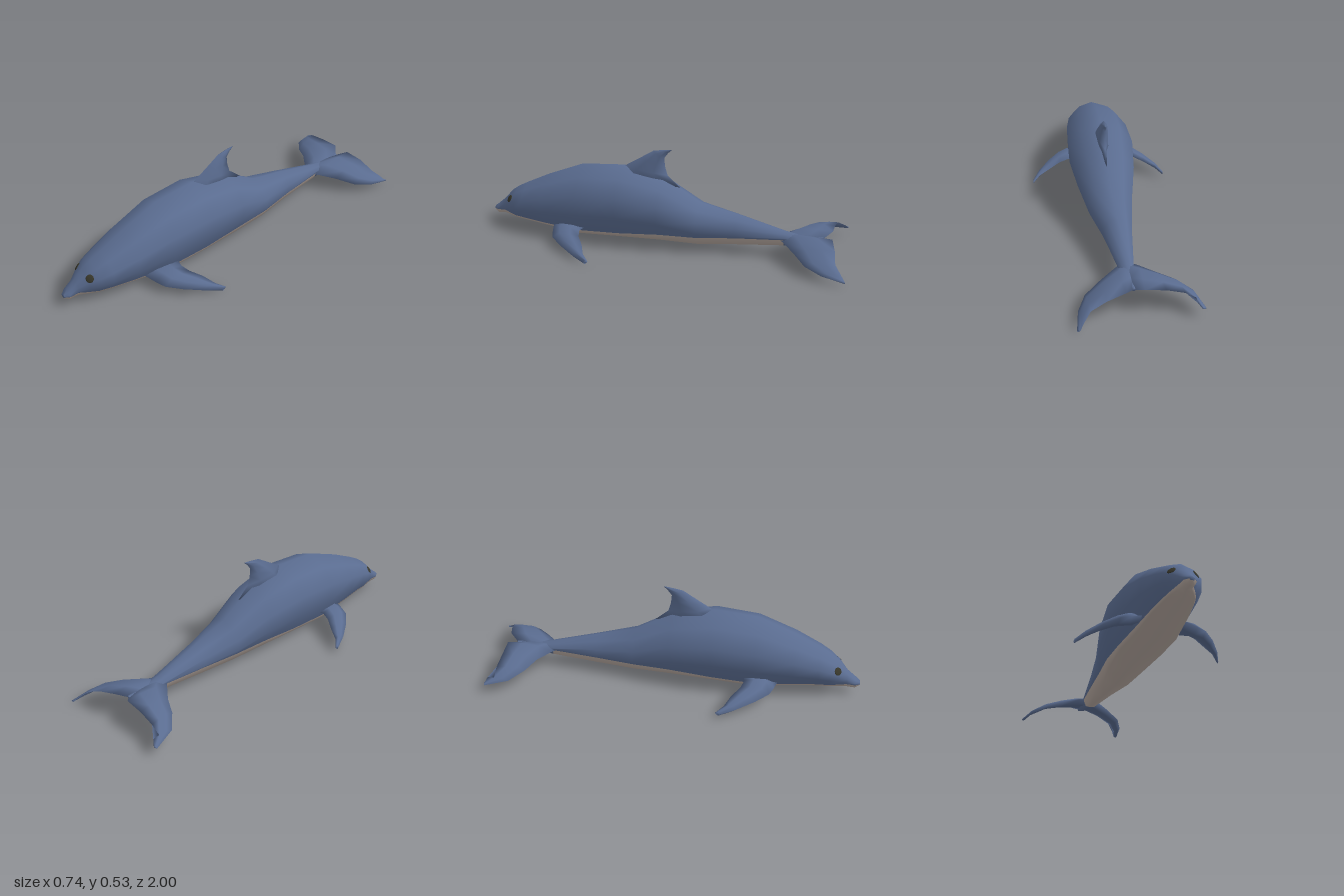
import * as THREE from 'three';

const skin = new THREE.MeshStandardMaterial({ color: 0x5a6c90 });
skin.name = 'slate blue skin';
const pale = new THREE.MeshStandardMaterial({ color: 0xb8aaa2 });
pale.name = 'pale belly';
const dark = new THREE.MeshStandardMaterial({ color: 0x38372b });
dark.name = 'dark eye';

// Smooth capped skin through a row of closed rings; isPale(i, j) picks the second material.
function loft(name, rings, isPale = () => false) {
  const n = rings[0].length;
  const points = rings.flat();
  const faces = [[], []];
  for (let i = 0; i < rings.length - 1; i++) {
    for (let j = 0; j < n; j++) {
      const a = i * n + j, b = i * n + (j + 1) % n;
      faces[isPale(i, j) ? 1 : 0].push(a, b, a + n, b, b + n, a + n);
    }
  }
  const last = (rings.length - 1) * n;
  for (let j = 1; j < n - 1; j++) {
    faces[0].push(0, j + 1, j, last, last + j, last + j + 1);
  }
  const geometry = new THREE.BufferGeometry().setFromPoints(points);
  geometry.setIndex([...faces[0], ...faces[1]]);
  geometry.addGroup(0, faces[0].length, 0);
  geometry.addGroup(faces[0].length, faces[1].length, 1);
  geometry.computeVertexNormals();
  const mesh = new THREE.Mesh(geometry, [skin, pale]);
  mesh.name = name;
  return mesh;
}

// Fin with lens-shaped sections: each station is [leading point, trailing point, half thickness].
function fin(name, stations, thickDir) {
  const dir = new THREE.Vector3(...thickDir);
  return loft(name, stations.map(([l, t, h]) => {
    const lead = new THREE.Vector3(...l), trail = new THREE.Vector3(...t);
    const at = (k, d) => lead.clone().lerp(trail, k).addScaledVector(dir, d * h);
    return [lead, at(0.28, 1), at(0.68, 0.7), trail, at(0.68, -0.7), at(0.28, -1)];
  }));
}

// Body stations: z, centre x, half width, top, bottom, height of the belly colour line
const BODY = [
  [1.0, -0.03, 0.014, 0.08, 0.060, 0.067],
  [0.975, -0.03, 0.032, 0.10, 0.046, 0.070],
  [0.93, -0.03, 0.038, 0.14, 0.050, 0.074],
  [0.885, -0.022, 0.068, 0.192, 0.050, 0.072],
  [0.84, -0.016, 0.095, 0.225, 0.050, 0.070],
  [0.78, -0.01, 0.113, 0.258, 0.050, 0.072],
  [0.65, -0.007, 0.143, 0.322, 0.042, 0.068],
  [0.45, -0.006, 0.168, 0.404, 0.020, 0.060],
  [0.22, -0.005, 0.175, 0.424, 0.035, 0.075],
  [0.0, -0.007, 0.152, 0.375, 0.040, 0.092],
  [-0.2, -0.01, 0.112, 0.258, 0.036, 0.092],
  [-0.4, -0.022, 0.073, 0.210, 0.048, 0.100],
  [-0.65, -0.03, 0.040, 0.143, 0.068, 0.108],
  [-0.75, -0.035, 0.030, 0.125, 0.082, 0.100],
  [-0.85, -0.043, 0.008, 0.128, 0.112, 0.118],
];

function bodyRing([z, cx, hw, top, bottom, line]) {
  const h = top - bottom;
  const t = THREE.MathUtils.clamp((line - bottom) / h, 0.08, 0.52);
  const lineX = Math.min(0.97, THREE.MathUtils.mapLinear(t, 0.05, 0.38, 0.62, 0.97));
  const half = [[0, 1], [0.62, 0.88], [1, 0.66], [0.98, Math.max(0.38, t + 0.06)],
    [lineX, t], [0.62, 0.05], [0, 0]];
  const mirrored = half.slice(1, -1).reverse().map(([x, y]) => [-x, y]);
  return [...half, ...mirrored].map(([x, y]) => new THREE.Vector3(cx + x * hw, bottom + y * h, z));
}

export function createModel() {
  const group = new THREE.Group();
  group.name = 'dolphin';

  // Body, with the belly coloured below the line up to the tail stock
  const body = loft('body', BODY.map(bodyRing), (i, j) => i < 12 && j >= 4 && j <= 7);
  group.add(body);

  // Eyes laid on the surface of the head
  const ray = new THREE.Raycaster();
  for (const [name, x] of [['leftEye', 0.037], ['rightEye', -0.08]]) {
    ray.set(new THREE.Vector3(x, 0.162, 2), new THREE.Vector3(0, 0, -1));
    const hit = ray.intersectObject(body)[0];
    const eye = new THREE.Mesh(new THREE.SphereGeometry(0.021, 16, 10), dark);
    eye.name = name;
    eye.scale.z = 0.22;
    eye.position.copy(hit.point);
    eye.quaternion.setFromUnitVectors(new THREE.Vector3(0, 0, 1), hit.face.normal);
    group.add(eye);
  }

  // Dorsal fin, swept back to its tip
  group.add(fin('dorsalFin', [
    [[-0.004, 0.36, 0.30], [-0.004, 0.33, -0.09], 0.036],
    [[-0.004, 0.428, 0.20], [-0.004, 0.39, -0.022], 0.032],
    [[-0.004, 0.475, 0.125], [-0.004, 0.44, -0.008], 0.024],
    [[-0.004, 0.520, 0.055], [-0.004, 0.485, -0.004], 0.015],
    [[-0.004, 0.530, 0.0], [-0.004, 0.515, -0.025], 0.008],
    [[-0.004, 0.535, -0.038], [-0.004, 0.533, -0.045], 0.002],
  ], [1, 0, 0]));

  // Flippers: x, lead z, trail z, lead y, trail y, half thickness
  const flipper = [
    [0.08, 0.60, 0.40, 0.065, 0.085, 0.015],
    [0.16, 0.575, 0.42, 0.055, 0.085, 0.03],
    [0.21, 0.555, 0.405, 0.05, 0.075, 0.024],
    [0.27, 0.49, 0.365, 0.04, 0.06, 0.02],
    [0.33, 0.40, 0.335, 0.024, 0.038, 0.016],
    [0.368, 0.32, 0.295, 0.012, 0.018, 0.011],
  ];
  for (const [name, s, dy, dz] of [['leftFlipper', 1, 0, 0], ['rightFlipper', -1, 0.018, -0.015]]) {
    group.add(fin(name, flipper.map(([x, zl, zt, yl, yt, h]) =>
      [[s * x, yl + dy, zl + dz], [s * x, yt + dy, zt + dz], h]), [0, -s, 0]));
  }

  // Tail flukes, slightly twisted so the left tip hangs lower and further back
  group.add(fin('leftFluke', [
    [[-0.04, 0.10, -0.60], [-0.043, 0.12, -0.85], 0.022],
    [[0.02, 0.10, -0.65], [0.0, 0.142, -0.90], 0.022],
    [[0.10, 0.085, -0.72], [0.09, 0.122, -0.925], 0.018],
    [[0.18, 0.06, -0.79], [0.165, 0.085, -0.94], 0.014],
    [[0.22, 0.04, -0.88], [0.20, 0.05, -0.975], 0.01],
    [[0.235, 0.024, -1.0], [0.218, 0.025, -0.997], 0.004],
  ], [0, -1, 0]));
  group.add(fin('rightFluke', [
    [[-0.03, 0.10, -0.60], [-0.043, 0.12, -0.85], 0.022],
    [[-0.09, 0.108, -0.65], [-0.09, 0.145, -0.89], 0.022],
    [[-0.17, 0.105, -0.71], [-0.19, 0.135, -0.89], 0.018],
    [[-0.25, 0.09, -0.75], [-0.28, 0.115, -0.895], 0.014],
    [[-0.33, 0.07, -0.82], [-0.33, 0.08, -0.93], 0.01],
    [[-0.37, 0.055, -0.94], [-0.352, 0.055, -0.946], 0.004],
  ], [0, 1, 0]));

  return group;
}
